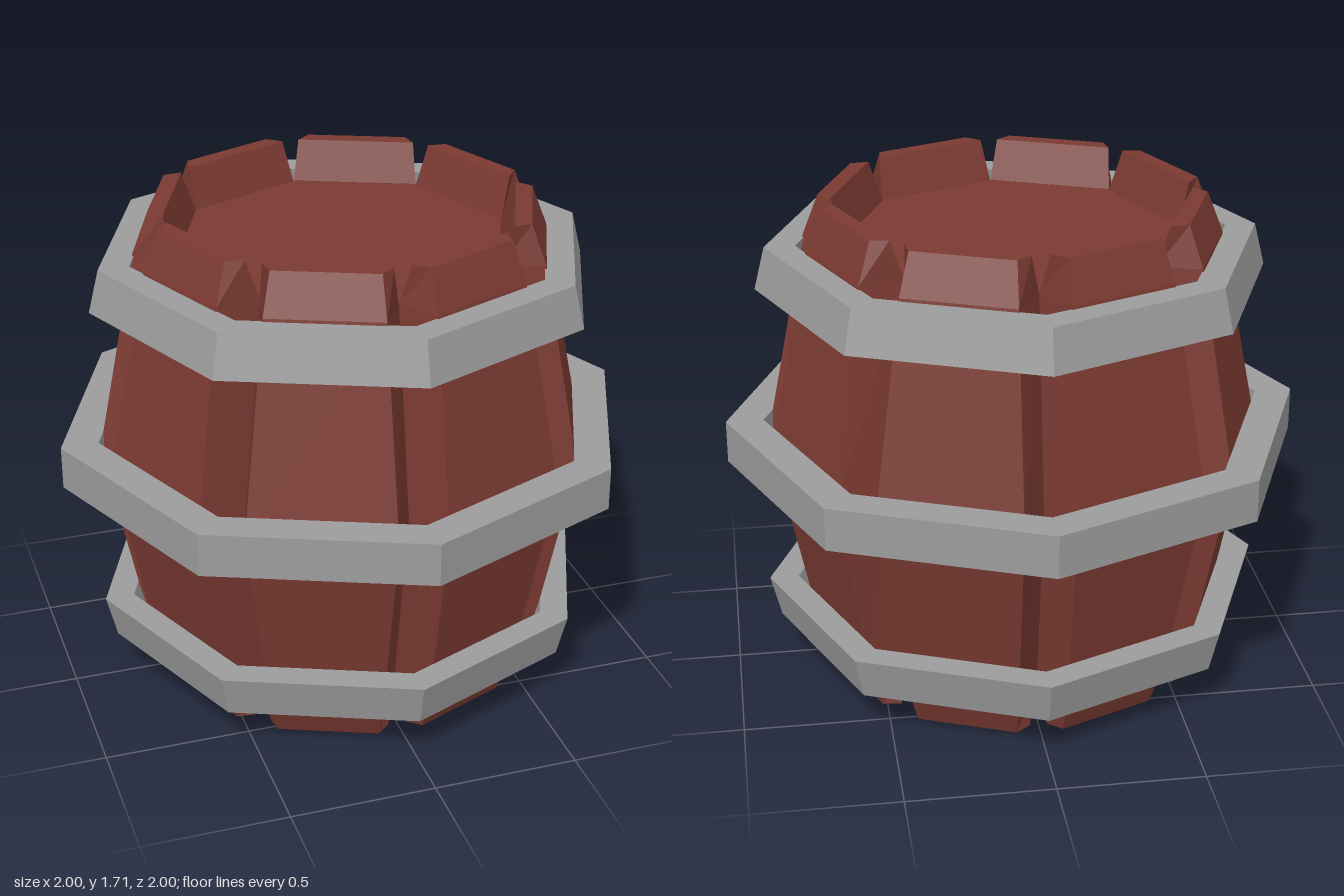
import * as THREE from 'three';

const HEIGHT = 1.71, SIDES = 8, HALF = Math.PI / SIDES;

// Hard-edged facets
function faceted(geometry) {
  const g = geometry.index ? geometry.toNonIndexed() : geometry;
  g.computeVertexNormals();
  return g;
}

// One bulging plank, narrowing at both ends, with bevelled long sides.
// Rings: height, outer radius, outer gap, inner radius, inner gap
// (radius along the seam between planks, gap away from it).
function staveGeometry() {
  const end = [0.65, 0.08, 0.61, 0.03];
  const shoulder = [0.705, 0.083, 0.575, 0.001];
  const belly = [0.85, 0.085, 0.70, 0.001];
  const rings = [
    [0, ...end], [0.14, ...shoulder], [HEIGHT / 2, ...belly],
    [HEIGHT - 0.14, ...shoulder], [HEIGHT, ...end],
  ].map(([y, ro, go, ri, gi]) => {
    const c = Math.cos(HALF), s = Math.sin(HALF);
    const corner = (r, gap, side) => [side * (r * s - gap * c), y, r * c + gap * s];
    return [corner(ro, go, -1), corner(ro, go, 1), corner(ri, gi, 1), corner(ri, gi, -1)];
  });
  const pos = [];
  const quad = (a, b, c, d) => pos.push(...a, ...b, ...c, ...a, ...c, ...d);
  for (let i = 0; i < rings.length - 1; i++) {
    const lo = rings[i], hi = rings[i + 1];
    for (let j = 0; j < 4; j++) {
      const k = (j + 1) % 4;
      quad(lo[j], lo[k], hi[k], hi[j]);
    }
  }
  const [b0, b1, b2, b3] = rings[0];
  quad(b3, b2, b1, b0);
  quad(...rings[rings.length - 1]);
  const g = new THREE.BufferGeometry();
  g.setAttribute('position', new THREE.Float32BufferAttribute(pos, 3));
  return faceted(g);
}

// Eight-sided band with a rectangular, optionally slanted section
function hoopGeometry(y0, y1, inner0, inner1, outer0, outer1) {
  const profile = [
    [inner0, y0], [outer0, y0], [outer1, y1], [inner1, y1], [inner0, y0],
  ].map(([x, y]) => new THREE.Vector2(x, y));
  return faceted(new THREE.LatheGeometry(profile, SIDES));
}

export function createModel() {
  const wood = new THREE.MeshStandardMaterial({ color: 0x7b3a32 });
  wood.name = 'redBrownWood';
  const metal = new THREE.MeshStandardMaterial({ color: 0x9c9c9c });
  metal.name = 'greyMetal';

  const barrel = new THREE.Group();
  barrel.name = 'barrel';
  const add = (name, geometry, material) => {
    const mesh = new THREE.Mesh(geometry, material);
    mesh.name = name;
    barrel.add(mesh);
    return mesh;
  };

  // Planks around the axis
  const stave = staveGeometry();
  for (let i = 0; i < SIDES; i++) {
    add('stave' + (i + 1), stave, wood).rotation.y = HALF * (2 * i + 1);
  }

  // Recessed lid and base, joined as one core
  const core = faceted(new THREE.CylinderGeometry(0.573, 0.573, HEIGHT - 0.28, SIDES));
  add('lidAndBase', core, wood).position.y = HEIGHT / 2;

  // Hoops
  add('lowerHoop', hoopGeometry(0.16, 0.31, 0.735, 0.775, 0.84, 0.877), metal);
  add('middleHoop', hoopGeometry(0.78, 0.93, 0.87, 0.87, 1, 1), metal);
  add('upperHoop', hoopGeometry(1.413, 1.56, 0.775, 0.735, 0.877, 0.84), metal);

  return barrel;
}
